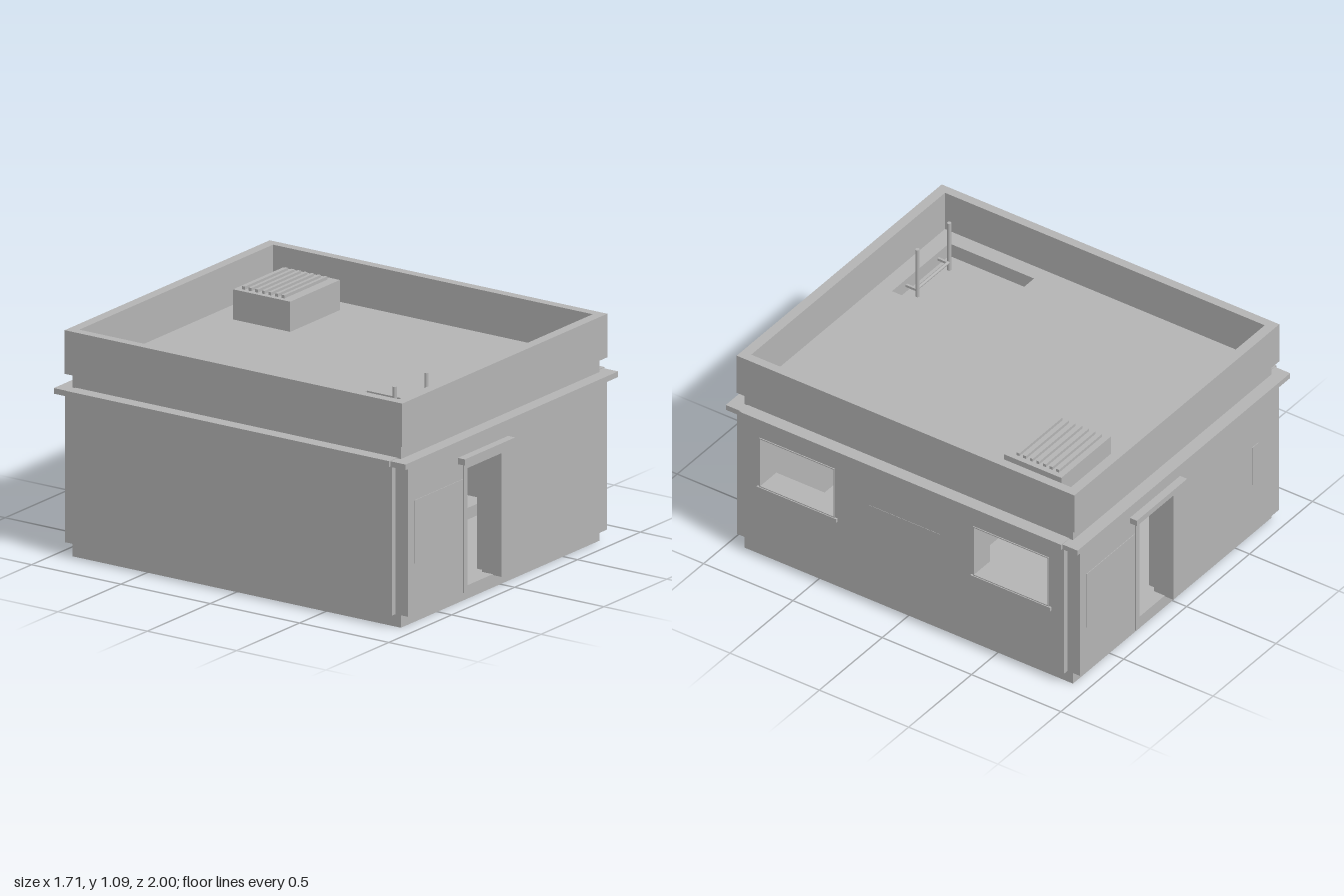
import * as THREE from 'three';

const gray = new THREE.MeshStandardMaterial({ color: 0xb4b4b4, side: THREE.DoubleSide });
gray.name = 'concrete gray';

const add = (parent, name, geo) => {
  const m = new THREE.Mesh(geo, gray);
  m.name = name;
  parent.add(m);
  return m;
};

// box from min/max ranges
const box = (parent, name, x0, x1, y0, y1, z0, z1) => {
  const m = add(parent, name, new THREE.BoxGeometry(x1 - x0, y1 - y0, z1 - z0));
  m.position.set((x0 + x1) / 2, (y0 + y1) / 2, (z0 + z1) / 2);
  return m;
};

const rectPts = (x0, x1, y0, y1) =>
  [[x0, y0], [x1, y0], [x1, y1], [x0, y1]].map(p => new THREE.Vector2(...p));

// upright plate in the xy plane with rectangular openings
const plate = (parent, name, pts, holes, z0, z1) => {
  const s = new THREE.Shape(pts);
  holes.forEach(h => s.holes.push(new THREE.Path(rectPts(...h))));
  const m = add(parent, name, new THREE.ExtrudeGeometry(s, { depth: z1 - z0, bevelEnabled: false }));
  m.position.z = z0;
  return m;
};

// horizontal plate; rectangles are [x0, x1, z0, z1]
const slab = (parent, name, outer, holes, y0, y1) => {
  const flip = ([a, b, c, d]) => [a, b, -d, -c];
  const m = plate(parent, name, rectPts(...flip(outer)), holes.map(flip), 0, y1 - y0);
  m.rotation.x = -Math.PI / 2;
  m.position.y = y0;
  return m;
};

const centred = (x, z) => [-x, x, -z, z];

const rod = (parent, name, r, h, x, y, z, sides = 12) => {
  const m = add(parent, name, new THREE.CylinderGeometry(r, r, h, sides));
  m.position.set(x, y, z);
  return m;
};

// outline with a notch in its lower edge for a doorway
const notched = (w, y0, y1, d0, d1, dTop) =>
  [[-w, y0], [d0, y0], [d0, dTop], [d1, dTop], [d1, y0], [w, y0], [w, y1], [-w, y1]]
    .map(p => new THREE.Vector2(...p));

// end wall with doorway, facing +z
function doorWall(name) {
  const g = new THREE.Group();
  g.name = name;
  plate(g, 'wallCore', notched(0.79, 0.06, 0.88, -0.355, -0.035, 0.685), [], 0.815, 0.92);
  plate(g, 'wallCladding', notched(0.79, 0.06, 0.785, -0.355, -0.035, 0.685), [], 0.92, 0.96);
  box(g, 'doorJamb', -0.355, -0.33, 0.06, 0.685, 0.86, 0.968);
  box(g, 'doorJamb', -0.06, -0.035, 0.06, 0.685, 0.86, 0.968);
  box(g, 'doorHead', -0.33, -0.06, 0.655, 0.685, 0.86, 0.968);
  box(g, 'doorCanopy', -0.395, 0.005, 0.69, 0.72, 0.95, 1.0);
  box(g, 'wallPanel', -0.74, -0.357, 0.305, 0.608, 0.958, 0.963);
  return g;
}

export function createModel() {
  const model = new THREE.Group();
  model.name = 'utilityBuilding';

  // base skirt and floor
  slab(model, 'baseSkirt', centred(0.79, 0.92), [centred(0.785, 0.915)], 0, 0.06);
  const pit = [0.0, 0.69, -0.04, 0.36];
  slab(model, 'floor', centred(0.79, 0.92), [pit], 0.058, 0.064);

  // hollow plinth with two tanks
  slab(model, 'plinthSides', pit, [[0.01, 0.68, -0.03, 0.35]], 0.06, 0.11);
  slab(model, 'plinthTop', pit, [], 0.11, 0.12);
  for (const x of [0.17, 0.56]) {
    rod(model, 'tank', 0.11, 0.32, x, 0.27, 0.17, 32);
    for (let i = 0; i < 6; i++) {
      const a = i * Math.PI / 3;
      rod(model, 'tankBolt', 0.013, 0.02, x + 0.07 * Math.cos(a), 0.44, 0.17 + 0.07 * Math.sin(a));
    }
  }

  // end walls with doors, the back one turned round
  model.add(doorWall('frontWall'));
  const back = doorWall('backWall');
  back.rotation.y = Math.PI;
  model.add(back);
  box(model, 'backHatchPlate', -0.625, -0.575, 0.33, 0.54, -0.963, -0.958);

  // side wall with two windows
  const side = new THREE.Group();
  side.name = 'windowWall';
  side.rotation.y = Math.PI / 2;
  model.add(side);
  const windows = [[-0.812, -0.39, 0.41, 0.685], [0.385, 0.808, 0.41, 0.685]];
  plate(side, 'wallCore', rectPts(-0.815, 0.815, 0.06, 0.88), windows, 0.69, 0.79);
  plate(side, 'wallCladding', rectPts(-0.89, 0.89, 0.06, 0.785), windows, 0.79, 0.82);
  for (const [a, b, c, d] of windows) {
    plate(side, 'windowLining', rectPts(a, b, c, d), [[a + 0.005, b - 0.005, c + 0.005, d - 0.005]], 0.7, 0.825);
    box(side, 'windowSill', a - 0.012, b + 0.012, 0.39, 0.41, 0.79, 0.83);
  }
  box(side, 'sidePanel', -0.2, 0.2, 0.225, 0.56, 0.818, 0.8215);

  // plain side wall
  box(model, 'plainWallCore', -0.79, -0.69, 0.06, 0.88, -0.815, 0.815);
  box(model, 'plainWallCladding', -0.82, -0.79, 0.06, 0.785, -0.89, 0.89);

  // cornice with stepped corners
  const core = centred(0.78, 0.91);
  slab(model, 'corniceEnds', centred(0.845, 0.985), [core], 0.785, 0.812);
  slab(model, 'corniceSides', centred(0.855, 0.9), [core], 0.787, 0.815);

  // roof deck with hatch, and parapet
  const hatch = [-0.69, -0.235, 0.34, 0.815];
  slab(model, 'roofDeck', centred(0.79, 0.92), [hatch], 0.815, 0.885);
  slab(model, 'parapet', centred(0.815, 0.945), [centred(0.77, 0.895)], 0.88, 1.09);

  // ladder
  const ladder = new THREE.Group();
  ladder.name = 'ladder';
  model.add(ladder);
  for (const x of [-0.602, -0.35]) {
    rod(ladder, 'ladderRail', 0.01, 1.02, x, 0.57, 0.753);
    for (const y of [0.3, 0.62, 0.85]) box(ladder, 'ladderBracket', x - 0.006, x + 0.006, y - 0.006, y + 0.006, 0.753, 0.817);
  }
  for (let y = 0.16; y < 0.9; y += 0.1) {
    rod(ladder, 'ladderRung', 0.008, 0.252, -0.476, y, 0.753).rotation.z = Math.PI / 2;
  }

  // roof vent with slats
  box(model, 'ventBox', 0.275, 0.67, 0.88, 1.03, -0.77, -0.45);
  for (let i = 0; i < 7; i++) {
    const z = -0.73 + i * 0.037;
    box(model, 'ventSlat', 0.3, 0.642, 1.03, 1.045, z - 0.008, z + 0.008);
  }
  return model;
}
